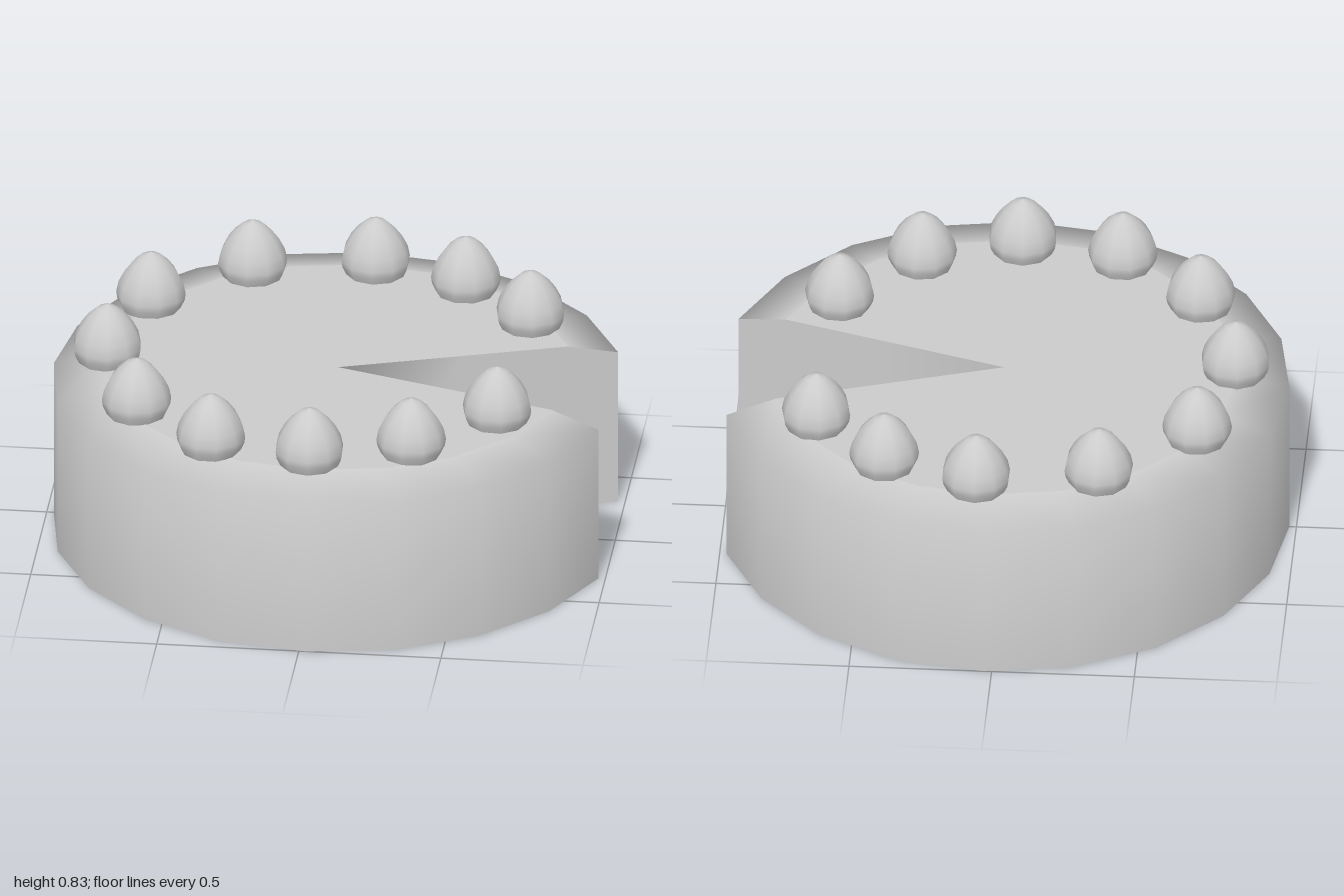
import * as THREE from 'three';

const RADIUS = 1, RIM = 0.82, SHOULDER = 0.58, TOP = 0.62;
const CENTRE_X = 0.0245;
const CUT = Math.PI / 10; // half angle of the missing slice, centred on +x

const material = new THREE.MeshStandardMaterial({ color: 0xcccccc, side: THREE.DoubleSide });

function part(name, geometry) {
  const mesh = new THREE.Mesh(geometry, material);
  mesh.name = name;
  return mesh;
}

// Both walls of the cut as one strip, running from the front rim to the tip to the back rim
function cutWallGeometry() {
  const side = [[RADIUS, SHOULDER], [RIM, TOP], [0.45, TOP]];
  const path = [
    ...side.map(([r, h]) => [r, h, 1]),
    [0, TOP, 1],
    ...side.slice().reverse().map(([r, h]) => [r, h, -1]),
  ];
  const positions = [], index = [];
  path.forEach(([r, h, s], i) => {
    const x = r * Math.cos(CUT), z = s * r * Math.sin(CUT);
    positions.push(x, 0, z, x, h, z);
    if (i < path.length - 1) {
      const a = i * 2;
      index.push(a, a + 2, a + 3, a, a + 3, a + 1);
    }
  });
  const geometry = new THREE.BufferGeometry();
  geometry.setAttribute('position', new THREE.Float32BufferAttribute(positions, 3));
  geometry.setIndex(index);
  geometry.computeVertexNormals();
  return geometry;
}

export function createModel() {
  const model = new THREE.Group();
  model.name = 'cake';

  // Cake body: open underneath, with a bevelled rim
  const body = new THREE.Group();
  body.name = 'cakeBody';
  body.position.x = CENTRE_X;
  const sweep = Math.PI * 2 - CUT * 2;
  const profile = [[RADIUS, 0], [RADIUS, SHOULDER], [RIM, TOP]].map(p => new THREE.Vector2(...p));
  body.add(part('outerWall', new THREE.LatheGeometry(profile, 18, Math.PI / 2 + CUT, sweep)));
  const icing = new THREE.CircleGeometry(RIM, 18, CUT, sweep).rotateX(-Math.PI / 2);
  icing.translate(0, TOP, 0);
  body.add(part('topIcing', icing));
  body.add(part('cutWalls', cutWallGeometry()));
  model.add(body);

  // Berries around the top
  const berryProfile = [
    [0.104, 0], [0.118, 0.03], [0.122, 0.055], [0.114, 0.095],
    [0.094, 0.135], [0.068, 0.17], [0.035, 0.2], [0, 0.214],
  ].map(p => new THREE.Vector2(...p));
  const berryGeometry = new THREE.LatheGeometry(berryProfile, 10);
  const spots = [
    [0.07, -0.77], [0.4, -0.655], [0.655, -0.41], [-0.355, -0.7],
    [-0.68, -0.41], [-0.785, 0.02], [-0.635, 0.435], [-0.345, 0.69],
    [0.01, 0.76], [0.355, 0.645], [0.625, 0.36],
  ];
  spots.forEach(([x, z], i) => {
    const berry = part('berry' + (i + 1), berryGeometry);
    berry.position.set(x, TOP - 0.003, z);
    berry.rotation.y = i * 0.4;
    model.add(berry);
  });

  return model;
}
